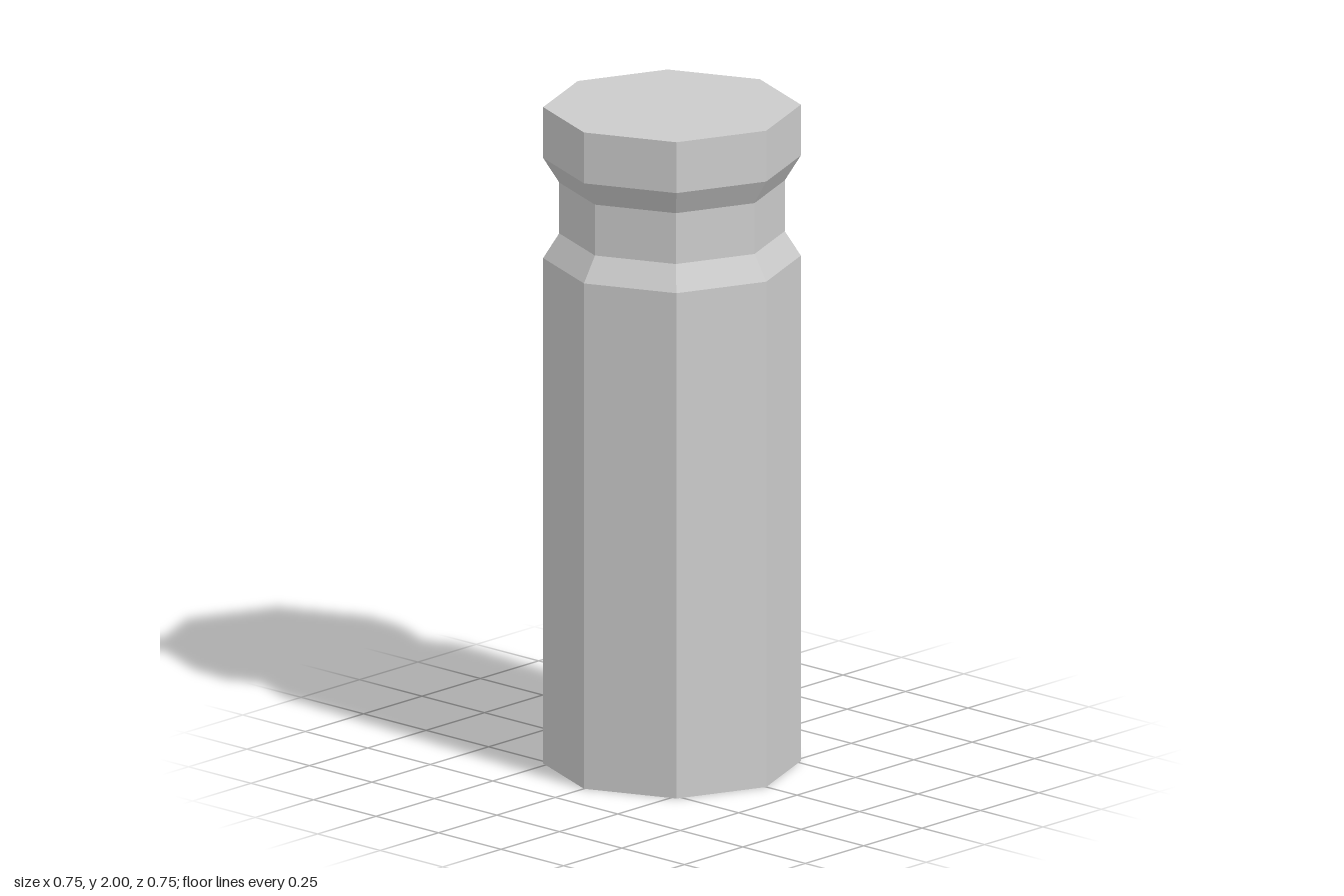
import * as THREE from 'three';

const SIDES = 8;
const RADIUS = 0.377;
const NECK = 0.33;
const HEIGHT = 2;

export function createModel() {
  const group = new THREE.Group();
  group.name = 'groovedPeg';
  const material = new THREE.MeshStandardMaterial({ color: 0xcccccc, flatShading: true });

  const add = (name, geometry) => {
    const mesh = new THREE.Mesh(geometry, material);
    mesh.name = name;
    group.add(mesh);
    return mesh;
  };

  // Octagonal side wall: shaft, chamfered groove and head
  const profile = [
    [RADIUS, 0],
    [RADIUS, 1.54],
    [NECK, 1.615],
    [NECK, 1.77],
    [RADIUS, 1.845],
    [RADIUS, HEIGHT],
  ].map(([r, y]) => new THREE.Vector2(r, y));
  add('body', new THREE.LatheGeometry(profile, SIDES));

  // Flat end caps
  const cap = new THREE.CircleGeometry(RADIUS, SIDES);
  const top = add('topCap', cap);
  top.rotation.x = -Math.PI / 2;
  top.position.y = HEIGHT;
  add('bottomCap', cap).rotation.x = Math.PI / 2;

  return group;
}
